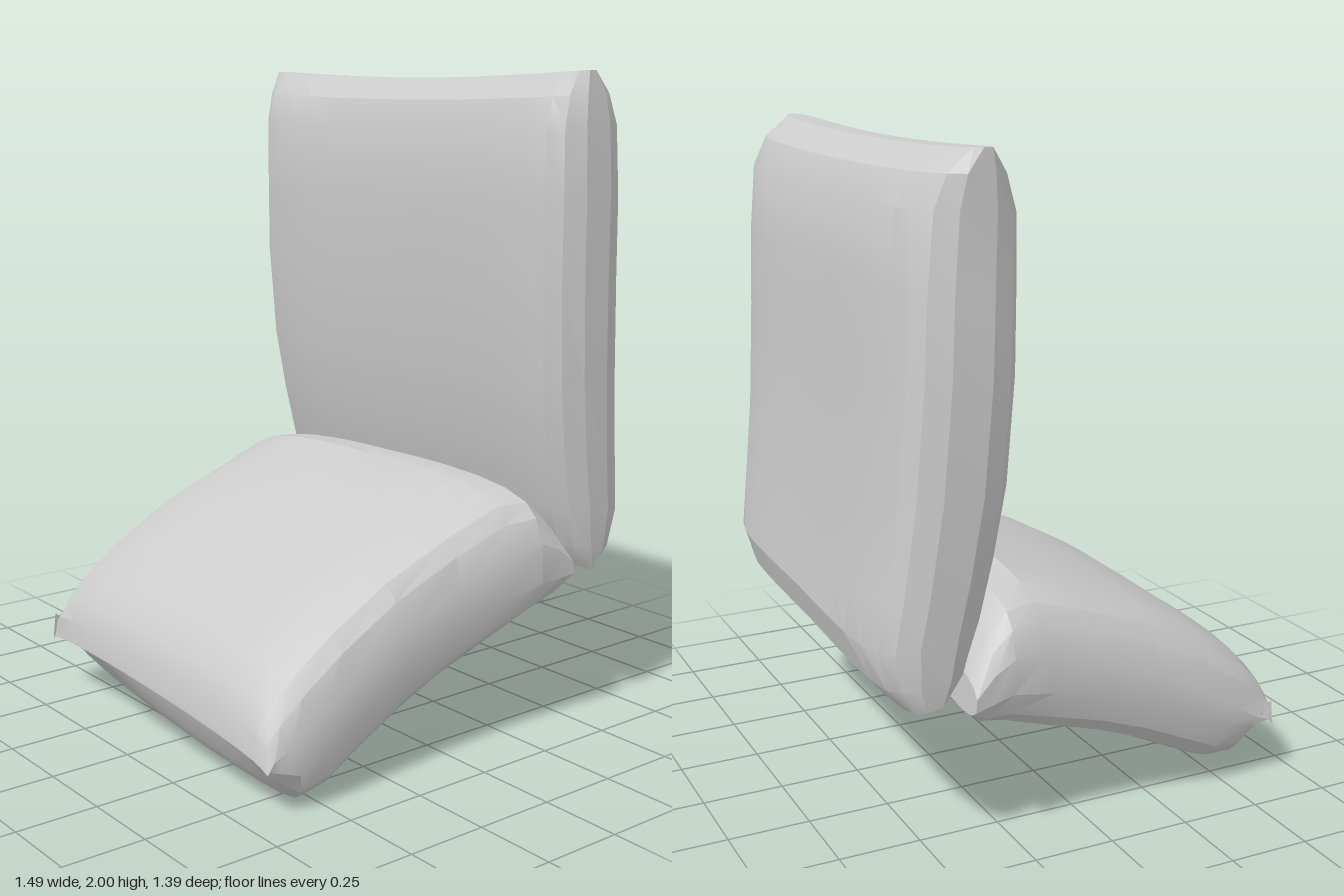
import * as THREE from 'three';
import { toCreasedNormals } from 'three/addons/utils/BufferGeometryUtils.js';

// Across the width: [position -1..1, thickness factor], plump in the middle and thin at the side seams
const half = [[0, 0.98], [0.2, 0.99], [0.4, 1], [0.6, 1], [0.77, 0.97], [0.9, 0.87], [0.96, 0.68], [1, 0.32]];
const stations = [...half.slice(1).reverse().map(([u, t]) => [-u, t]), ...half];

// Each row: [z, y of one face, z, y of the opposite face, left edge x, right edge x]
// wobble(u, v, far) returns the [dy, dz] unevenness; far is true on the opposite face
function cushion(name, rows, wobble) {
  const n = rows.length, ring = 2 * n;
  const pos = [], idx = [];
  const quad = (a, b, c, d) => idx.push(a, b, c, a, c, d);

  for (const [u, t] of stations) {
    for (let j = 0; j < ring; j++) {
      const far = j >= n;
      const k = far ? ring - 1 - j : j;
      const [z0, y0, z1, y1, xl, xr] = rows[k];
      const side = far ? -t : t;
      const [dy, dz] = wobble(u, k / (n - 1), far);
      pos.push(
        THREE.MathUtils.lerp(xl, xr, (u + 1) / 2),
        (y0 + y1) / 2 + side * (y0 - y1) / 2 + dy,
        (z0 + z1) / 2 + side * (z0 - z1) / 2 + dz
      );
    }
  }

  // Skin between neighbouring cross-sections
  const last = (stations.length - 1) * ring;
  for (let s = 0; s < last; s += ring) {
    for (let j = 0; j < ring; j++) {
      const m = (j + 1) % ring;
      quad(s + j, s + m, s + ring + m, s + ring + j);
    }
  }
  // Narrow side strips
  for (let k = 0; k < n - 1; k++) {
    const a = k, b = k + 1, c = ring - 2 - k, d = ring - 1 - k;
    quad(last + a, last + b, last + c, last + d);
    quad(d, c, b, a);
  }

  const geo = new THREE.BufferGeometry();
  geo.setAttribute('position', new THREE.Float32BufferAttribute(pos, 3));
  geo.setIndex(idx);
  const mesh = new THREE.Mesh(toCreasedNormals(geo, 0.4), new THREE.MeshStandardMaterial({ color: 0xcccccc }));
  mesh.name = name;
  return mesh;
}

// Upright cushion: top edge sags, lower rear is fuller on one side
const backWobble = (u, v, far) => [
  -0.02 * (1 - u * u) * (1 - v),
  far ? v * (0.02 + 0.02 * u) : -0.01 * (1 - u * u)
];

// Seat: rear edge droops at the sides, underside lifts towards the front corners
const seatWobble = (u, v, far) => {
  const rear = -0.005 + 0.02 * u - 0.05 * u * u;
  const front = far ? 0.012 - 0.055 * u + 0.04 * u * u : -0.015 * u - 0.02 * u * u;
  return [THREE.MathUtils.lerp(rear, front, v), v * (0.02 * u - 0.015)];
};

export function createModel() {
  const group = new THREE.Group();
  group.name = 'cushionSeat';

  // Top to bottom, front face then rear face
  group.add(cushion('backCushion', [
    [-0.35, 2.0, -0.43, 2.0, -0.74, 0.73],
    [-0.285, 1.93, -0.53, 1.94, -0.74, 0.735],
    [-0.25, 1.83, -0.58, 1.85, -0.735, 0.74],
    [-0.25, 1.62, -0.605, 1.64, -0.74, 0.74],
    [-0.255, 1.4, -0.62, 1.4, -0.745, 0.735],
    [-0.275, 1.1, -0.645, 1.07, -0.735, 0.725],
    [-0.31, 0.9, -0.68, 0.8, -0.725, 0.71],
    [-0.35, 0.72, -0.7, 0.66, -0.715, 0.7],
    [-0.4, 0.58, -0.67, 0.55, -0.71, 0.69],
    [-0.46, 0.51, -0.61, 0.48, -0.7, 0.67]
  ], backWobble));

  // Back to front, upper face then underside
  group.add(cushion('seatCushion', [
    [-0.41, 0.62, -0.42, 0.5, -0.71, 0.69],
    [-0.34, 0.73, -0.365, 0.43, -0.7, 0.69],
    [-0.275, 0.79, -0.29, 0.395, -0.695, 0.69],
    [-0.18, 0.795, -0.13, 0.32, -0.675, 0.67],
    [0, 0.73, 0.05, 0.245, -0.655, 0.655],
    [0.24, 0.635, 0.19, 0.175, -0.65, 0.65],
    [0.44, 0.525, 0.35, 0.085, -0.64, 0.65],
    [0.59, 0.42, 0.45, 0.025, -0.63, 0.65],
    [0.655, 0.35, 0.55, 0.005, -0.62, 0.645],
    [0.69, 0.28, 0.63, 0.07, -0.615, 0.64],
    [0.7, 0.2, 0.67, 0.12, -0.61, 0.635]
  ], seatWobble));

  return group;
}
